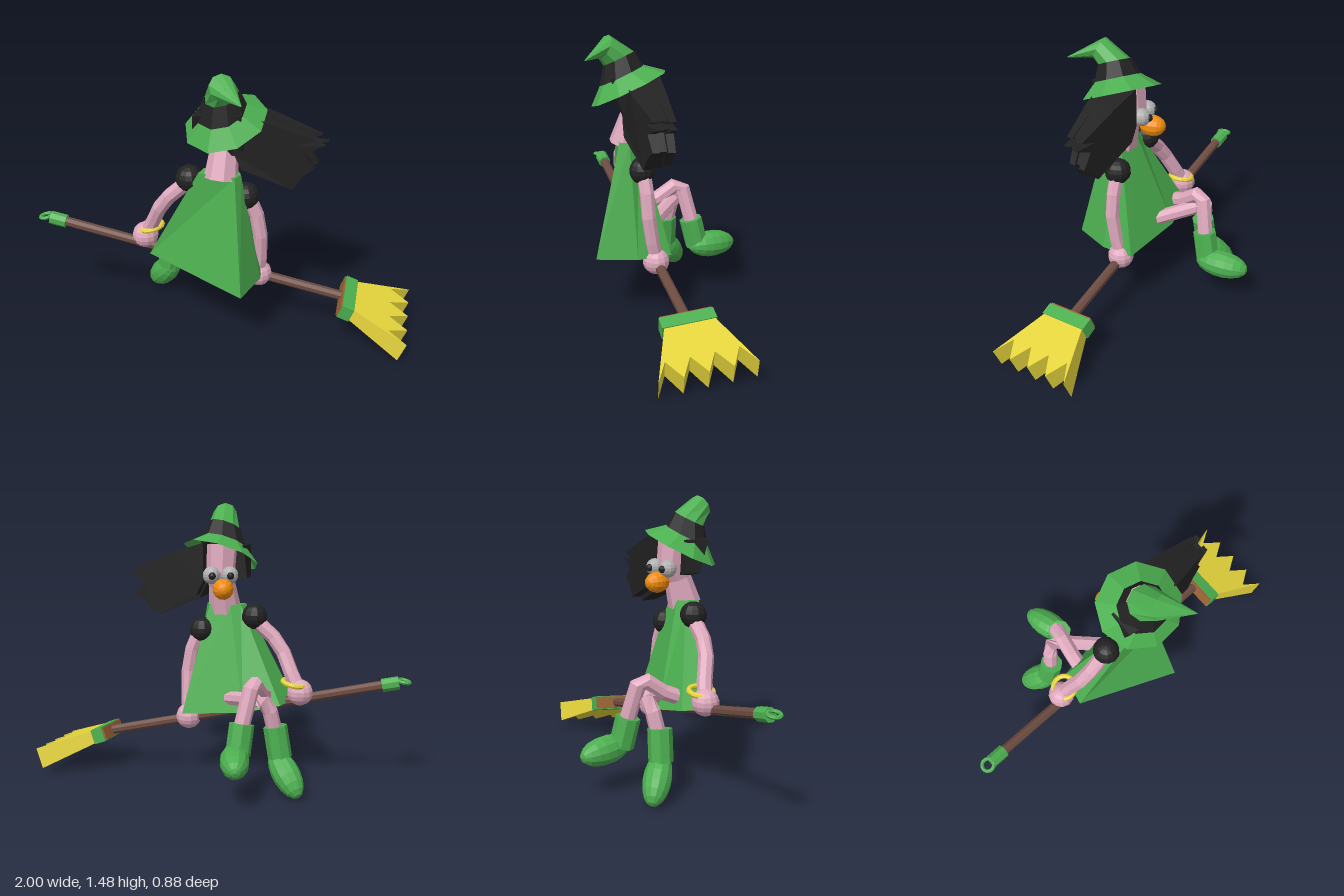
import * as THREE from 'three';

const V = (a) => new THREE.Vector3(...a);
const mat = (color) => new THREE.MeshStandardMaterial({ color, flatShading: true, side: THREE.DoubleSide });
const green = mat(0x4caf50), pink = mat(0xdfa9bd), black = mat(0x222222), brown = mat(0x6d4c41),
  wood = mat(0x9a6234), yellow = mat(0xe6d43c), orange = mat(0xf08c0a), grey = mat(0xb0b0b0);

export function createModel() {
  const model = new THREE.Group();

  const add = (name, geo, material, parent = model) => {
    const mesh = new THREE.Mesh(geo, material);
    mesh.name = name;
    parent.add(mesh);
    return mesh;
  };

  // Skin rings of equal length, optionally closing both ends
  const skin = (rings, caps = true) => {
    const n = rings[0].length, pos = [], idx = [];
    rings.forEach((ring) => ring.forEach((p) => pos.push(p.x, p.y, p.z)));
    for (let i = 0; i < rings.length - 1; i++) {
      for (let j = 0; j < n; j++) {
        const a = i * n + j, b = i * n + (j + 1) % n;
        idx.push(a, b, b + n, a, b + n, a + n);
      }
    }
    if (caps) {
      const last = (rings.length - 1) * n;
      for (let j = 1; j < n - 1; j++) idx.push(0, j + 1, j, last, last + j, last + j + 1);
    }
    const geo = new THREE.BufferGeometry();
    geo.setAttribute('position', new THREE.Float32BufferAttribute(pos, 3));
    geo.setIndex(idx);
    geo.computeVertexNormals();
    return geo;
  };

  // Round section swept along [x, y, z, radius] stations
  const loft = (stations, { sides = 8, ref = [1, 0, 0], normals = [], caps = true } = {}) => {
    const pts = stations.map((s) => V(s.slice(0, 3)));
    return skin(pts.map((p, i) => {
      const next = pts[Math.min(i + 1, pts.length - 1)], prev = pts[Math.max(i - 1, 0)];
      const n = normals[i] ? V(normals[i]).normalize() : next.clone().sub(prev).normalize();
      const a = V(ref).addScaledVector(n, -V(ref).dot(n)).normalize();
      const b = n.clone().cross(a);
      return Array.from({ length: sides }, (_, j) => {
        const t = (j + 0.5) / sides * Math.PI * 2, r = stations[i][3];
        return p.clone().addScaledVector(a, r * Math.cos(t)).addScaledVector(b, r * Math.sin(t));
      });
    }), caps);
  };

  const limb = (name, path, r, material = pink) =>
    add(name, loft(path.map((p) => [...p, r])), material);

  // Sphere, or ellipsoid stretched along a direction
  const ball = (name, at, r, material, length = r, dir = [0, 1, 0]) => {
    const mesh = add(name, new THREE.SphereGeometry(1, 12, 9), material);
    mesh.scale.set(r, length, r);
    mesh.position.set(...at);
    mesh.quaternion.setFromUnitVectors(new THREE.Vector3(0, 1, 0), V(dir).normalize());
    return mesh;
  };

  // Broom stick with end cap and hanging ring
  add('broomStick', loft([[-0.87, 0.54, 0.222, 0.026], [0.64, 0.2, 0.042, 0.026]], { ref: [0, 0, 1] }), brown);
  add('stickCap', loft([[-0.935, 0.553, 0.23, 0.036], [-0.85, 0.535, 0.22, 0.036]], { ref: [0, 0, 1] }), green);
  const ring = add('hangingRing', new THREE.TorusGeometry(0.032, 0.01, 6, 14), green);
  ring.position.set(-0.958, 0.562, 0.235);
  ring.rotation.set(Math.PI / 2, 0.2, 0);

  // Broom head
  const head = new THREE.Group();
  head.name = 'broomHead';
  head.position.set(0.632, 0.203, 0.045);
  head.rotation.set(0.08, 0.06, -0.36);
  model.add(head);
  add('headPlate', new THREE.BoxGeometry(0.012, 0.07, 0.26), wood, head);
  add('headBand', new THREE.BoxGeometry(0.066, 0.08, 0.27), green, head).position.x = 0.036;

  // Bristles: zigzag fan that thickens toward the tips
  const fan = [[0.065, -0.125], [0.065, 0.125]];
  for (let i = 0; i < 9; i++) fan.push([i % 2 ? 0.26 : 0.365, 0.236 - i * 0.059]);
  const bristles = new THREE.ExtrudeGeometry(new THREE.Shape(fan.map((p) => new THREE.Vector2(...p))),
    { depth: 1, bevelEnabled: false });
  const bp = bristles.attributes.position;
  for (let i = 0; i < bp.count; i++) {
    const u = bp.getX(i), w = bp.getY(i), side = 0.5 - bp.getZ(i);
    bp.setXYZ(i, u, side * (0.07 + (u - 0.065) * 0.15) - (u - 0.065) * 0.05, w);
  }
  bristles.computeVertexNormals();
  add('bristles', bristles, yellow, head);

  // Dress
  const hem = [[0.17, 0.335, 0.41], [0.22, 0.335, 0.2], [0.2, 0.34, 0.02],
    [-0.15, 0.38, 0.01], [-0.34, 0.42, 0.06], [-0.37, 0.42, 0.24]];
  const collar = [[0.1, 0.93, 0.27], [0.12, 0.93, 0.22], [0.09, 0.93, 0.17],
    [-0.03, 0.93, 0.16], [-0.08, 0.93, 0.19], [-0.09, 0.93, 0.26]];
  add('dress', skin([hem.map(V), collar.map(V)]), green);

  // Arms, hands and puffed sleeves
  ball('leftSleeve', [0.13, 0.79, 0.16], 0.07, black);
  ball('rightSleeve', [-0.155, 0.87, 0.2], 0.07, black);
  limb('leftArm', [[0.14, 0.79, 0.155], [0.185, 0.68, 0.145], [0.205, 0.56, 0.14], [0.2, 0.42, 0.12], [0.19, 0.32, 0.1]], 0.038);
  limb('rightArm', [[-0.16, 0.85, 0.2], [-0.26, 0.76, 0.21], [-0.32, 0.68, 0.2], [-0.37, 0.58, 0.17], [-0.42, 0.49, 0.15]], 0.04);
  ball('leftHand', [0.19, 0.31, 0.1], 0.07, pink);
  ball('rightHand', [-0.425, 0.48, 0.15], 0.07, pink);
  const bracelet = add('bracelet', new THREE.TorusGeometry(0.061, 0.014, 8, 18), yellow);
  bracelet.position.set(-0.395, 0.53, 0.14);
  bracelet.rotation.set(Math.PI / 2, 0.2, 0);

  // Crossed legs with boots
  limb('rightLeg', [[-0.25, 0.46, 0.1], [-0.245, 0.5, 0], [-0.24, 0.565, -0.09], [-0.235, 0.55, -0.135], [-0.2, 0.36, -0.18]], 0.042);
  limb('leftLeg', [[-0.06, 0.44, 0.06], [-0.24, 0.48, -0.08], [-0.3, 0.48, -0.11], [-0.325, 0.43, -0.09], [-0.35, 0.3, -0.065]], 0.04);
  limb('rightBoot', [[-0.2, 0.375, -0.175], [-0.19, 0.22, -0.21]], 0.065, green);
  limb('leftBoot', [[-0.345, 0.345, -0.06], [-0.375, 0.18, -0.065]], 0.063, green);
  ball('rightFoot', [-0.2, 0.213, -0.3], 0.075, green, 0.147, [-0.32, -0.08, -0.95]);
  ball('leftFoot', [-0.415, 0.108, -0.1], 0.073, green, 0.145, [-0.55, -0.65, -0.4]);

  // Neck and face
  add('neckAndHead', loft([[0.02, 0.9, 0.225, 0.088], [0.025, 1.04, 0.185, 0.072],
    [0.02, 1.12, 0.15, 0.08], [0.02, 1.25, 0.17, 0.09]]), pink);
  ball('nose', [-0.025, 1.03, 0.05], 0.056, orange, 0.07, [-0.35, 0, -0.94]);
  for (const [side, x, z] of [['left', 0.045, 0.065], ['right', -0.045, 0.1]]) {
    ball(side + 'Eye', [x, 1.1, z], 0.047, grey);
    ball(side + 'Pupil', [x - 0.016, 1.1, z - 0.035], 0.02, black);
  }

  // Hair: a cap behind the head and windswept locks on one side
  const hair = (name, outline, front, back) => {
    const geo = new THREE.ExtrudeGeometry(new THREE.Shape(outline.map((p) => new THREE.Vector2(...p))),
      { depth: 1, bevelEnabled: false });
    const p = geo.attributes.position;
    for (let i = 0; i < p.count; i++) {
      const x = p.getX(i), y = p.getY(i);
      p.setZ(i, THREE.MathUtils.lerp(front(x, y), back(x, y), p.getZ(i)));
    }
    geo.computeVertexNormals();
    add(name, geo, black);
  };
  hair('hairBack', [[-0.12, 1.08], [0.1, 1.03], [0.14, 1.0], [0.14, 1.27], [-0.1, 1.25]],
    () => 0.17, (x, y) => 0.24 + 0.33 * (y - 1.05));
  const locks = [[0.09, 1.27], [0.25, 1.22], [0.49, 1.13], [0.4, 1.1], [0.525, 1.1], [0.43, 1.06],
    [0.48, 0.98], [0.43, 0.94], [0.385, 0.87], [0.13, 0.97], [0.09, 1.05]];
  const rear = (x) => 0.25 - 0.3 * Math.max(0, x - 0.2);
  for (let i = 0; i < 3; i++) {
    const shift = [0, -0.025, -0.01][i], at = (t) => (x) => THREE.MathUtils.lerp(0.06, rear(x), t);
    hair('hairLocks', locks.map(([x, y], k) => [k > 1 && k < 9 ? x + shift : x, y - (i === 0 && k > 6 ? -0.02 : 0)]),
      at(i / 3), at((i + 1) / 3));
  }

  // Hat: tilted brim, band and bent cone
  const lean = [-0.18, 0.9, 0.4], hat = { sides: 9, caps: false };
  add('hatBrim', loft([[0.037, 1.195, 0.205, 0.212], [0.028, 1.265, 0.24, 0.12]], { ...hat, normals: [lean, lean] }), green);
  add('hatBand', loft([[0.028, 1.262, 0.24, 0.125], [0.03, 1.35, 0.252, 0.09]], { ...hat, normals: [lean, lean] }), black);
  add('hatCone', loft([[0.03, 1.345, 0.25, 0.086], [0.055, 1.415, 0.33, 0.062], [0.175, 1.37, 0.44, 0.002]],
    { ...hat, normals: [lean, [0.3, 0.45, 0.8], [0.6, -0.3, 0.7]] }), green);

  return model;
}
